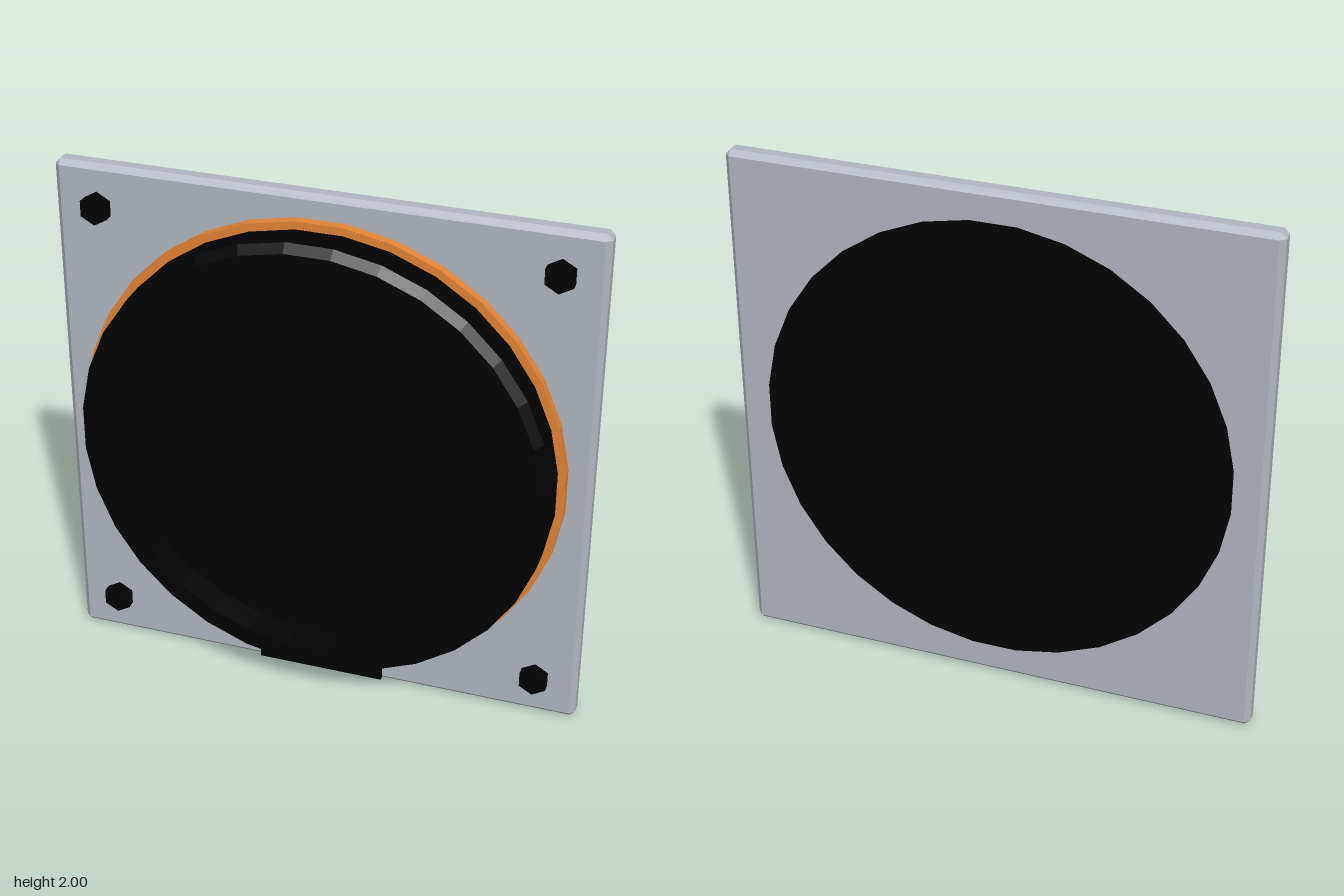
import * as THREE from 'three';
import { ConvexGeometry } from 'three/addons/geometries/ConvexGeometry.js';

const SIDES = 32;

export function createModel() {
  const model = new THREE.Group();
  const material = (name, color) => {
    const m = new THREE.MeshStandardMaterial({ color });
    m.name = name;
    return m;
  };
  const grey = material('plateGrey', 0xb2b6bf);
  const black = material('matteBlack', 0x020202);
  const orange = material('copperOrange', 0xe48437);

  const add = (name, geometry, mat, x, y, z) => {
    const mesh = new THREE.Mesh(geometry, mat);
    mesh.name = name;
    mesh.position.set(x, y, z);
    model.add(mesh);
    return mesh;
  };

  // Faceted turned part facing +z; profile is [radius, z], back to front
  const turned = (profile, sides = SIDES, phase = Math.PI / sides) => {
    const points = profile.map(([r, z]) => new THREE.Vector2(r, z));
    const geometry = new THREE.LatheGeometry(points, sides, phase).rotateX(Math.PI / 2).toNonIndexed();
    geometry.computeVertexNormals();
    return geometry;
  };

  // Box with all edges and corners chamfered
  const chamferedBox = (w, h, d, c) => {
    const points = [];
    for (const sx of [-1, 1]) for (const sy of [-1, 1]) for (const sz of [-1, 1]) {
      for (let axis = 0; axis < 3; axis++) {
        const half = [w / 2 - c, h / 2 - c, d / 2 - c];
        half[axis] += c;
        points.push(new THREE.Vector3(sx * half[0], sy * half[1], sz * half[2]));
      }
    }
    return new ConvexGeometry(points);
  };

  // Square mounting plate
  add('mountingPlate', chamferedBox(2, 2, 0.08, 0.02), grey, 0, 1, -0.085);

  // Coloured ring around the foot of the body
  add('accentRing', turned([
    [0.87, -0.05], [0.915, -0.05], [0.915, -0.01], [0.87, -0.01],
  ]), orange, 0, 1, 0);

  // Round body through the plate, with a chamfered rim and a deep recessed face
  add('roundBody', turned([
    [0, -0.1255], [0.885, -0.1255], [0.885, 0.095], [0.855, 0.125],
    [0.79, 0.125], [0.78, 0.02], [0, 0.02],
  ]), black, 0, 1, 0);

  // Hexagonal corner bolts, a point upwards
  const boltGeometry = turned([[0, -0.06], [0.058, -0.06], [0.058, -0.01], [0, -0.01]], 6, 0);
  for (const x of [-0.84, 0.84]) for (const y of [0.16, 1.84]) {
    add('cornerBolt', boltGeometry, black, x, y, 0);
  }

  // Thin tag on the lower edge
  add('lowerTag', new THREE.BoxGeometry(0.49, 0.065, 0.015), black, 0, 0.043, -0.0375);

  return model;
}
